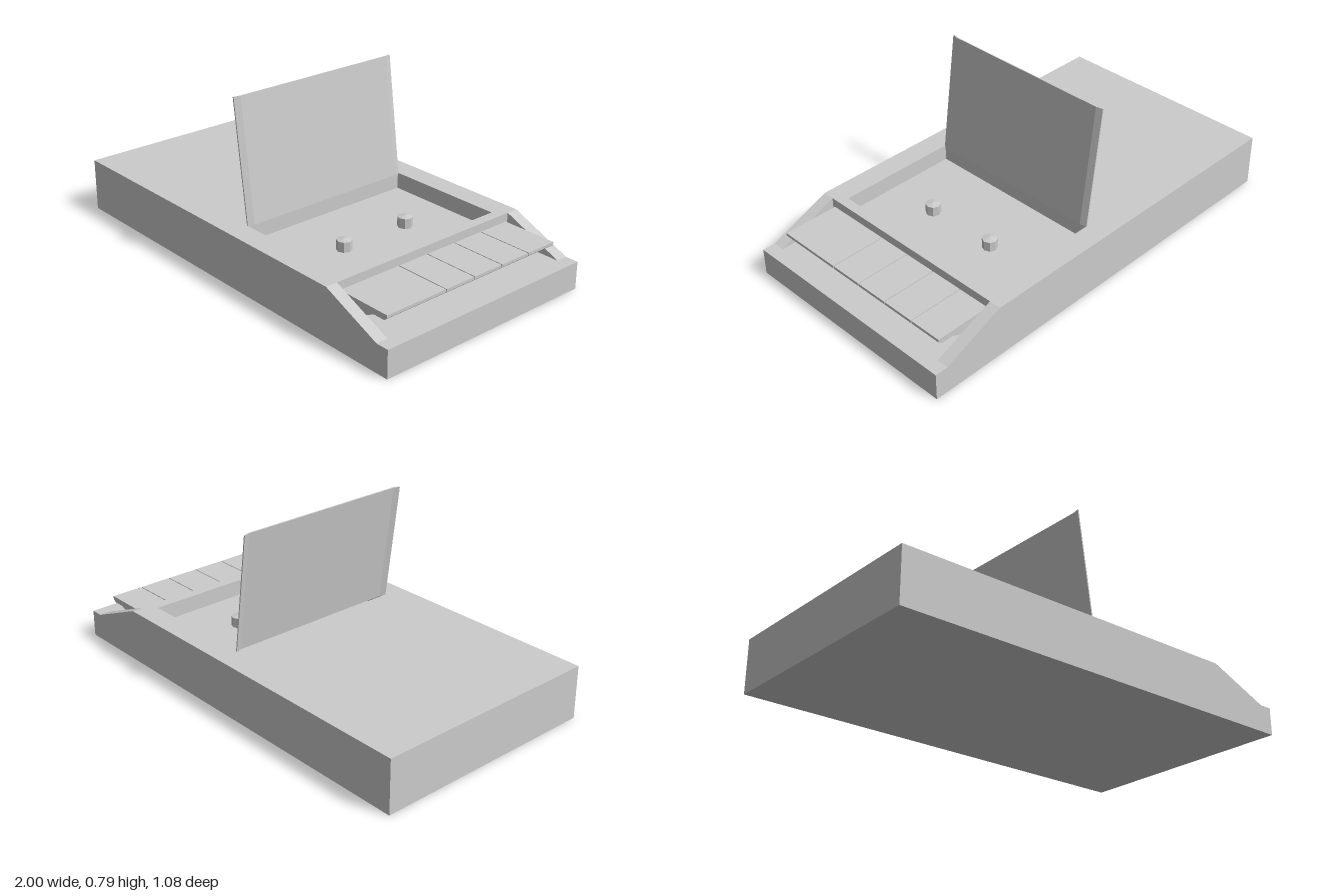
import * as THREE from 'three';

const material = new THREE.MeshStandardMaterial({ color: 0xcccccc, flatShading: true });

// Main levels and limits
const W = 0.54, BAY = 0.485, WELL = 0.435;       // half widths
const TOP = 0.245, LOW = 0.125, FLOOR = 0.17;    // heights
const X0 = 0.035, X1 = 0.61, XB = 0.657, XS = 0.94; // well ends, bay back, slope foot

function addMesh(parent, name, geometry) {
  const mesh = new THREE.Mesh(geometry, material);
  mesh.name = name;
  parent.add(mesh);
  return mesh;
}

// Casing shell: flat faces, each a fan around its first corner
function casingGeometry() {
  const pos = [];
  const face = (...p) => {
    for (let i = 1; i < p.length - 1; i++) pos.push(...p[0], ...p[i], ...p[i + 1]);
  };
  const pair = (...p) => {
    face(...p);
    const m = p.map(([x, y, z]) => [x, y, -z]);
    face(m[0], ...m.slice(1).reverse());
  };
  const level = (y, xa, xb, z) => face([xa, y, z], [xb, y, z], [xb, y, -z], [xa, y, -z]);
  const wall = (x, ya, yb, z) => face([x, ya, z], [x, ya, -z], [x, yb, -z], [x, yb, z]);

  // Outer sides, sloping rails, rail inner walls
  pair([XS, LOW, W], [XB, TOP, W], [-1, TOP, W], [-1, 0, W], [1, 0, W], [1, LOW, W]);
  pair([XB, TOP, W], [XS, LOW, W], [XS, LOW, BAY], [XB, TOP, BAY]);
  pair([XB, LOW, BAY], [XB, TOP, BAY], [XS, LOW, BAY]);
  // Top beside the well and the long well walls
  pair([-1, TOP, W], [XB, TOP, W], [XB, TOP, WELL], [-1, TOP, WELL]);
  pair([X0, FLOOR, WELL], [X0, TOP, WELL], [X1, TOP, WELL], [X1, FLOOR, WELL]);
  // Level faces: top ends, well floor, key bay floor, lip, underside
  level(TOP, -1, X0, WELL);
  level(TOP, X1, XB, WELL);
  level(FLOOR, X0, X1, WELL);
  level(LOW, XB, XS, BAY);
  level(LOW, XS, 1, W);
  level(0, 1, -1, W);
  // Cross walls
  wall(X0, FLOOR, TOP, WELL);
  wall(X1, FLOOR, TOP, -WELL);
  wall(XB, LOW, TOP, BAY);
  wall(1, 0, LOW, W);
  wall(-1, 0, TOP, -W);

  const g = new THREE.BufferGeometry();
  g.setAttribute('position', new THREE.Float32BufferAttribute(pos, 3));
  g.computeVertexNormals();
  return g;
}

// Shape extruded to a given depth
function extrude(points, depth) {
  const shape = new THREE.Shape(points.map(([x, y]) => new THREE.Vector2(x, y)));
  return new THREE.ExtrudeGeometry(shape, { depth, bevelEnabled: false });
}

export function createModel() {
  const model = new THREE.Group();
  model.name = 'cassetteRecorder';

  addMesh(model, 'casing', casingGeometry());

  // Open lid: thin plate with both ends bent slightly back
  const bend = 0.008, t = 0.006, flat = 0.405;
  const lidGeometry = extrude([
    [0, -flat], [0, flat], [-bend, WELL], [-bend - t, WELL],
    [-t, flat], [-t, -flat], [-bend - t, -WELL], [-bend, -WELL],
  ], 0.555);
  lidGeometry.rotateX(-Math.PI / 2);
  const lid = addMesh(model, 'lid', lidGeometry);
  lid.position.set(0.047, TOP, 0);
  lid.rotation.z = Math.atan(0.075 / 0.55);

  // Two drive spindles in the well
  for (const s of [1, -1]) {
    const profile = [[0.034, 0], [0.034, 0.046], [0, 0.053]].map(p => new THREE.Vector2(...p));
    const spindle = addMesh(model, s > 0 ? 'leftSpindle' : 'rightSpindle',
      new THREE.LatheGeometry(profile, 8));
    spindle.position.set(0.352, FLOOR, s * 0.175);
  }

  // Piano keys: one wide key and four narrow ones
  const keys = new THREE.Group();
  keys.name = 'keys';
  model.add(keys);
  const keyProfile = [
    [XB + 0.002, 0.15], [0.78, 0.15], [0.85, 0.182], [0.905, 0.182],
    [0.92, 0.195], [0.92, 0.208], [XB + 0.002, 0.208],
  ];
  const edges = [-0.475, -0.317, -0.158, 0, 0.158, 0.472];
  const gap = 0.004;
  for (let i = 0; i < edges.length - 1; i++) {
    const key = addMesh(keys, 'key' + (i + 1), extrude(keyProfile, edges[i + 1] - edges[i] - gap));
    key.position.z = edges[i] + gap / 2;
  }

  return model;
}
